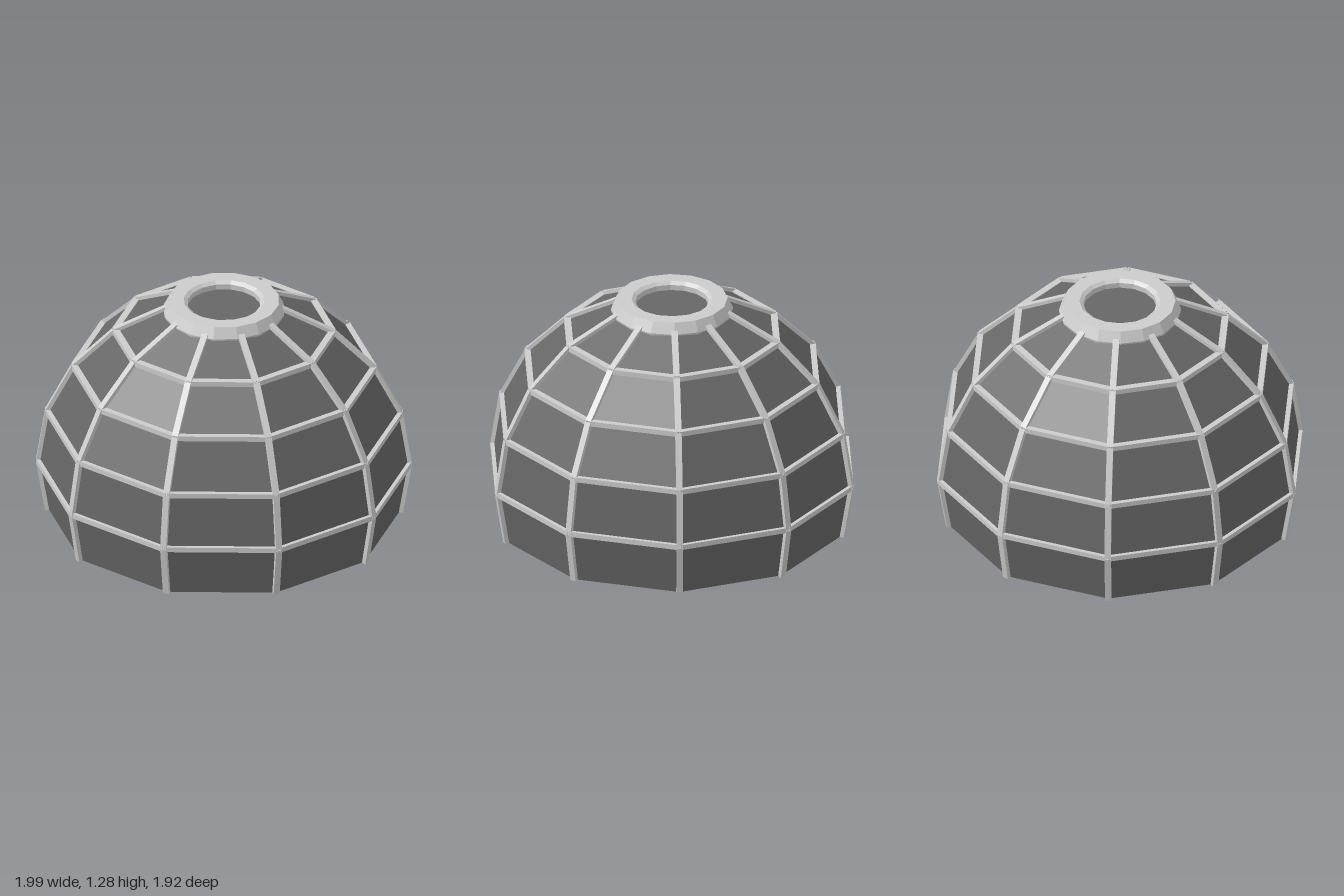
import * as THREE from 'three';

const SIDES = 10, RADIUS = 0.98, CENTRE_Y = 0.295;
const STEP = (Math.PI * 2) / SIDES;

export function createModel() {
  const model = new THREE.Group();
  model.name = 'dome';
  const frameMat = new THREE.MeshStandardMaterial({ color: 0xcccccc, flatShading: true });
  const paneMat = new THREE.MeshStandardMaterial({ color: 0x666666, flatShading: true, side: THREE.DoubleSide });

  // Dome levels every 18 degrees of elevation, as [radius, height]
  const levels = [-18, 0, 18, 36, 54, 72].map((deg) => {
    const e = THREE.MathUtils.degToRad(deg);
    return new THREE.Vector2(RADIUS * Math.cos(e), Math.max(0.003, CENTRE_Y + RADIUS * Math.sin(e)));
  });
  const point = (level, i) => new THREE.Vector3(
    level.x * Math.cos(i * STEP), level.y, level.x * Math.sin(i * STEP));

  // Square bar from p to q, with one side kept parallel to "side"
  function bar(name, p, q, side, sideSize, otherSize, parent) {
    const dir = q.clone().sub(p);
    const mesh = new THREE.Mesh(new THREE.BoxGeometry(sideSize, otherSize, dir.length()), frameMat);
    dir.normalize();
    const other = dir.clone().cross(side).normalize();
    mesh.quaternion.setFromRotationMatrix(new THREE.Matrix4().makeBasis(side, other, dir));
    mesh.position.copy(p).add(q).multiplyScalar(0.5);
    mesh.name = name;
    parent.add(mesh);
  }

  // Faceted panes
  const panes = new THREE.Mesh(new THREE.LatheGeometry(levels, SIDES, Math.PI / 2), paneMat);
  panes.name = 'panes';
  model.add(panes);

  // Upright ribs and horizontal ring bars
  const ribs = new THREE.Group(), rings = new THREE.Group();
  ribs.name = 'ribs';
  rings.name = 'rings';
  const up = new THREE.Vector3(0, 1, 0);
  for (let i = 0; i < SIDES; i++) {
    const tangent = new THREE.Vector3(-Math.sin(i * STEP), 0, Math.cos(i * STEP));
    for (let k = 0; k < levels.length - 1; k++) {
      bar('rib', point(levels[k], i), point(levels[k + 1], i), tangent, 0.034, 0.034, ribs);
      if (k > 0) bar('ringBar', point(levels[k], i), point(levels[k], i + 1), up, 0.028, 0.036, rings);
    }
  }
  model.add(ribs, rings);

  // Collar around the top opening
  const collarProfile = [
    [0.195, 1.21], [0.322, 1.21], [0.324, 1.222], [0.295, 1.28],
    [0.215, 1.28], [0.195, 1.265], [0.195, 1.21],
  ].map(([r, y]) => new THREE.Vector2(r, y));
  const collar = new THREE.Mesh(new THREE.LatheGeometry(collarProfile, 16), frameMat);
  collar.name = 'collar';
  model.add(collar);

  // Pane closing the top opening
  const topPane = new THREE.Mesh(new THREE.CircleGeometry(0.2, 16), paneMat);
  topPane.name = 'topPane';
  topPane.rotation.x = -Math.PI / 2;
  topPane.position.y = 1.235;
  model.add(topPane);

  model.rotation.y = THREE.MathUtils.degToRad(-1);
  return model;
}
